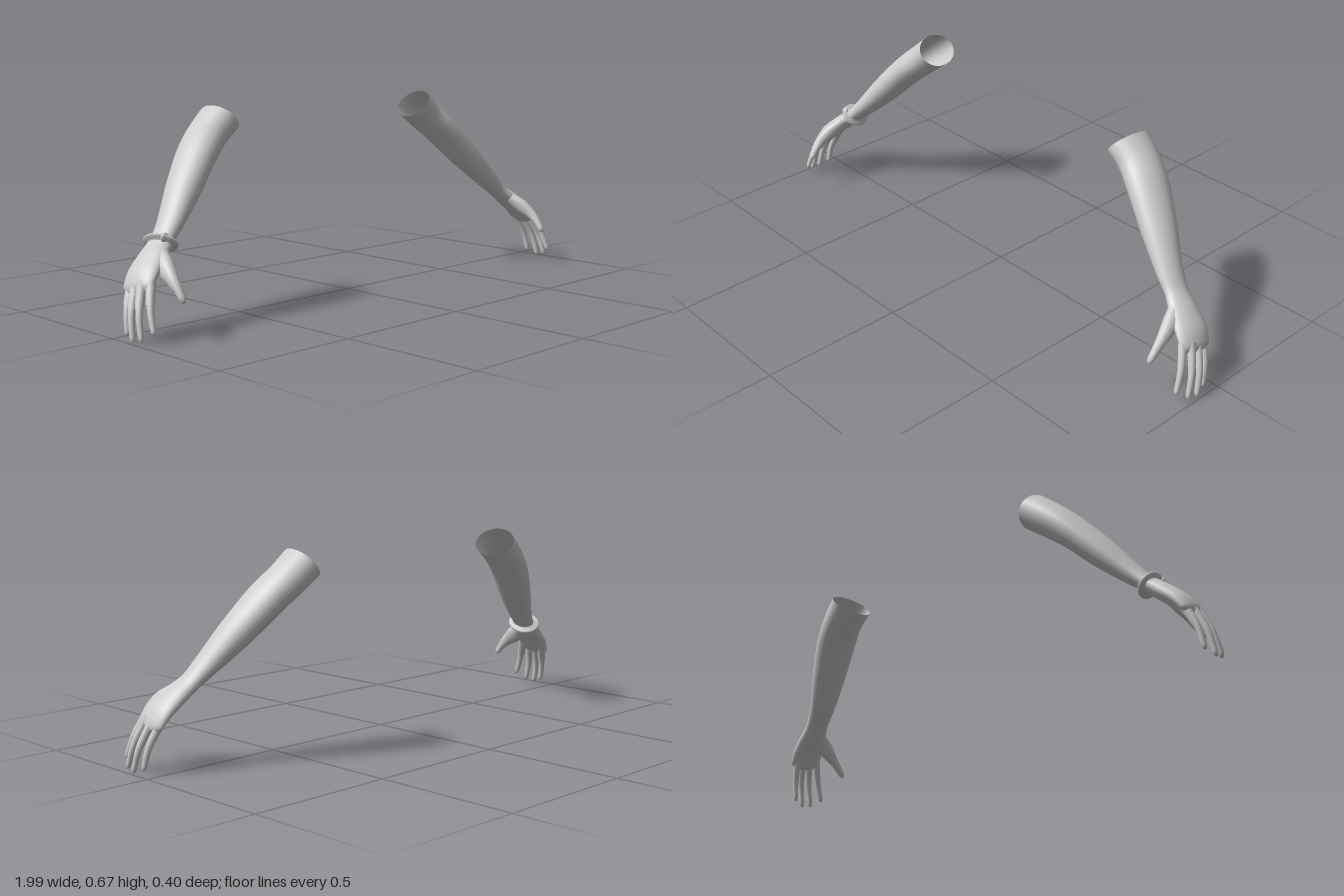
import * as THREE from 'three';

const material = new THREE.MeshStandardMaterial({ color: 0xcccccc, side: THREE.DoubleSide });

// Smooth tube through rows of [x, y, z, half width, half thickness].
// from/to select a stretch of the path, grow thickens it, tip rounds off the end.
function loft(rows, { steps = 24, sides = 20, from = 0, to = 1, grow = 0, tip = 0 } = {}) {
  const path = new THREE.CatmullRomCurve3(rows.map(r => new THREE.Vector3(r[0], r[1], r[2])));
  const size = new THREE.CatmullRomCurve3(rows.map(r => new THREE.Vector3(r[3], r[4], 0)));
  const positions = [], index = [];
  for (let i = 0; i <= steps; i++) {
    const s = i / steps;
    // crowd the rings towards a rounded tip
    const u = from + (to - from) * (tip ? 1 - Math.pow(1 - s, 1.7) : s);
    const c = path.getPoint(u), t = path.getTangent(u), r = size.getPoint(u);
    const k = tip && u > 1 - tip ? Math.sqrt(Math.max(0, 1 - ((u - 1 + tip) / tip) ** 2)) : 1;
    const w = new THREE.Vector3(0, 0, 1).addScaledVector(t, -t.z).normalize();
    const n = new THREE.Vector3().crossVectors(t, w);
    for (let j = 0; j < sides; j++) {
      const a = (j / sides) * Math.PI * 2;
      const p = c.clone()
        .addScaledVector(w, Math.cos(a) * (r.x + grow) * k)
        .addScaledVector(n, Math.sin(a) * (r.y + grow) * k);
      positions.push(p.x, p.y, p.z);
      if (i < steps) {
        const A = i * sides + j, B = i * sides + (j + 1) % sides;
        index.push(A, B, A + sides, B, B + sides, A + sides);
      }
    }
  }
  const g = new THREE.BufferGeometry();
  g.setAttribute('position', new THREE.Float32BufferAttribute(positions, 3));
  g.setIndex(index);
  g.computeVertexNormals();
  return g;
}

// Upper end to knuckles
const ARM = [
  [0.473, 0.625, -0.12, 0.08, 0.06],
  [0.53, 0.578, -0.112, 0.076, 0.058],
  [0.59, 0.525, -0.09, 0.077, 0.055],
  [0.685, 0.42, -0.046, 0.066, 0.049],
  [0.77, 0.325, -0.006, 0.05, 0.034],
  [0.82, 0.275, 0.012, 0.044, 0.026],
  [0.868, 0.235, 0.03, 0.055, 0.027],
  [0.918, 0.19, 0.046, 0.062, 0.024],
  [0.952, 0.14, 0.06, 0.06, 0.016],
];

// Fingers: root, middle and tip
const FINGERS = {
  index: [[0.925, 0.178, 0.098], [0.952, 0.105, 0.13], [0.962, 0.034, 0.158]],
  middle: [[0.938, 0.178, 0.072], [0.972, 0.09, 0.101], [0.983, 0.01, 0.124]],
  ring: [[0.938, 0.175, 0.043], [0.976, 0.085, 0.068], [0.988, 0.003, 0.088]],
  little: [[0.93, 0.172, 0.012], [0.966, 0.09, 0.033], [0.978, 0.016, 0.048]],
};

const THUMB = [
  [0.85, 0.25, 0.045, 0.026, 0.02],
  [0.867, 0.217, 0.092, 0.03, 0.022],
  [0.876, 0.186, 0.138, 0.021, 0.017],
  [0.877, 0.155, 0.17, 0.014, 0.013],
  [0.875, 0.122, 0.194, 0.011, 0.01],
];

function buildArm(side, name) {
  const arm = new THREE.Group();
  arm.name = name;
  const flip = rows => rows.map(([x, ...rest]) => [x * side, ...rest]);
  const add = (part, geometry) => {
    const mesh = new THREE.Mesh(geometry, material);
    mesh.name = part;
    arm.add(mesh);
    return mesh;
  };

  add('armAndPalm', loft(flip(ARM), { steps: 48, sides: 24, tip: 0.06 }));
  add('thumb', loft(flip(THUMB), { sides: 14, tip: 0.12 }));

  const gloved = side < 0;
  for (const [finger, points] of Object.entries(FINGERS)) {
    const radii = [0.015, 0.0115, 0.0085];
    const rows = flip(points.map((p, i) => [...p, radii[i], radii[i] * 0.95]));
    add(finger + 'Finger', loft(rows, { sides: 12, tip: 0.1 }));
    // short glove sleeve at the finger root
    if (gloved) add(finger + 'Sleeve', loft(rows, { steps: 8, sides: 12, to: 0.42, grow: 0.002 }));
  }

  if (gloved) {
    // fingerless glove with a raised wrist band and a button
    add('glove', loft(flip(ARM), { from: 0.62, grow: 0.002, sides: 24, tip: 0.06 }));
    add('thumbSleeve', loft(flip(THUMB), { to: 0.66, grow: 0.002, sides: 14 }));
    add('wristBand', loft(flip([
      [0.812, 0.283, 0.009, 0.044, 0.026],
      [0.815, 0.28, 0.01, 0.05, 0.032],
      [0.826, 0.269, 0.014, 0.05, 0.032],
      [0.829, 0.266, 0.015, 0.044, 0.026],
    ]), { steps: 12, sides: 24 }));
    const button = add('bandButton', new THREE.SphereGeometry(0.015, 14, 10));
    button.scale.set(1, 1, 0.6);
    button.position.set(-0.834, 0.297, 0.049);
  }
  return arm;
}

export function createModel() {
  const model = new THREE.Group();
  model.name = 'pairOfArms';
  model.add(buildArm(1, 'leftArm'), buildArm(-1, 'rightArm'));
  return model;
}
